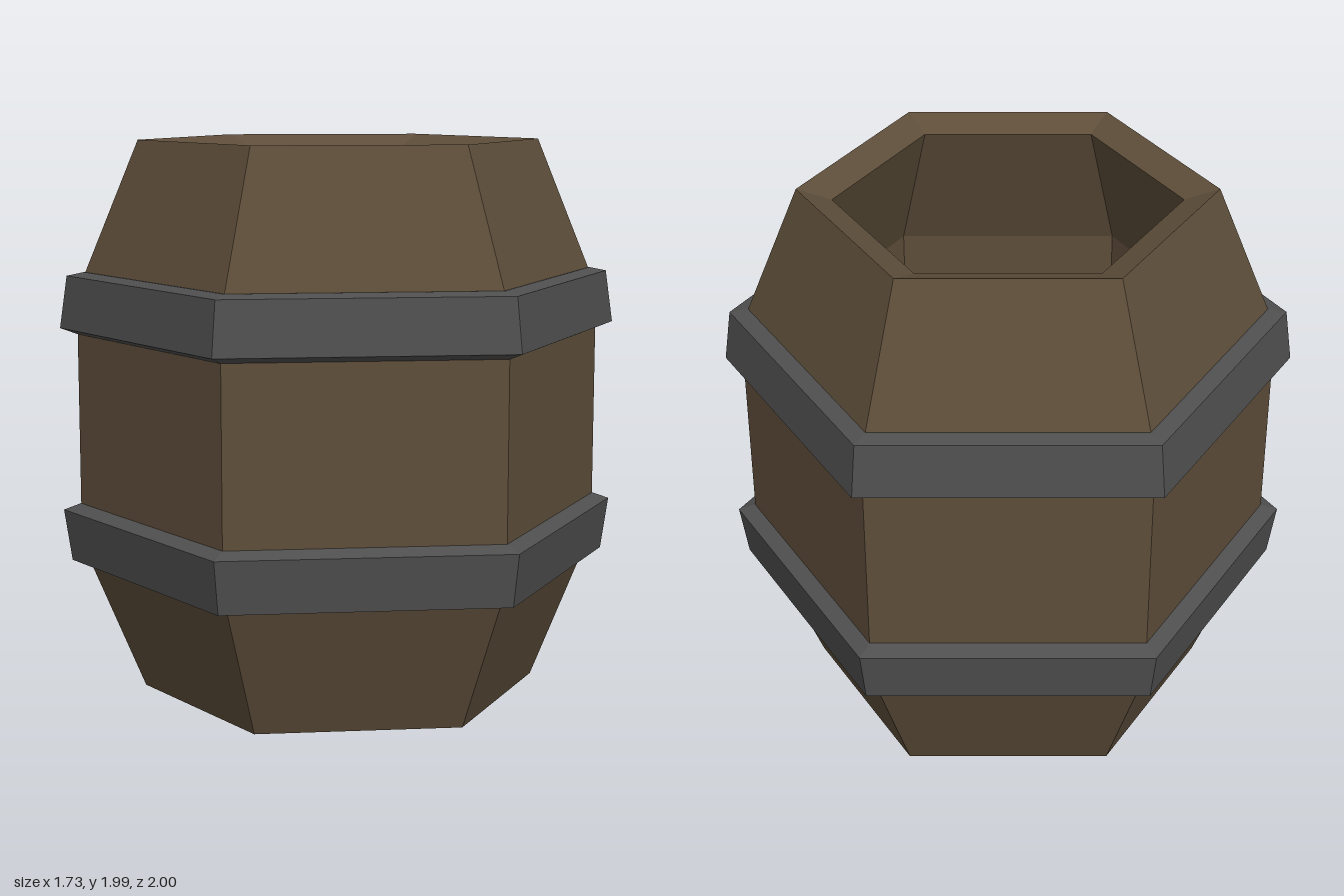
import * as THREE from 'three';

const SIDES = 6;
const HEIGHT = 1.985;

// Revolve an [radius, y] profile into a faceted hexagonal ring (corners on the z axis).
function hexLathe(profile, material, name) {
  const points = profile.map(([r, y]) => new THREE.Vector2(r, y));
  const geometry = new THREE.LatheGeometry(points, SIDES).toNonIndexed();
  geometry.computeVertexNormals();
  const mesh = new THREE.Mesh(geometry, material);
  mesh.name = name;
  return mesh;
}

// Reflect a closed profile top to bottom, keeping its winding.
const flip = (profile) => profile.map(([r, y]) => [r, HEIGHT - y]).reverse();

export function createModel() {
  const wood = new THREE.MeshStandardMaterial({ color: 0x5e4e3a });
  wood.name = 'darkWood';
  const iron = new THREE.MeshStandardMaterial({ color: 0x4f4f4f });
  iron.name = 'darkIron';

  const barrel = new THREE.Group();
  barrel.name = 'barrel';

  // Hollow staves: up the outside, over the sloping rim, down the inside
  barrel.add(hexLathe([
    [0.715, 0], [0.938, 0.54], [0.938, HEIGHT - 0.54], [0.715, HEIGHT],
    [0.595, HEIGHT - 0.04], [0.79, HEIGHT - 0.54], [0.79, 0.54],
    [0.595, 0.04], [0.715, 0],
  ], wood, 'staves'));

  // Base board, recessed above the bottom rim
  barrel.add(hexLathe([
    [0, 0.09], [0.62, 0.09], [0.63, 0.12], [0, 0.12],
  ], wood, 'base'));

  // Two tapered hoops, mirrored about the middle
  const hoop = [
    [0.9, 1.3], [0.94, 1.3], [1, 1.322], [0.973, 1.508], [0.915, 1.52], [0.9, 1.52], [0.9, 1.3],
  ];
  barrel.add(hexLathe(hoop, iron, 'upperHoop'));
  barrel.add(hexLathe(flip(hoop), iron, 'lowerHoop'));

  return barrel;
}
